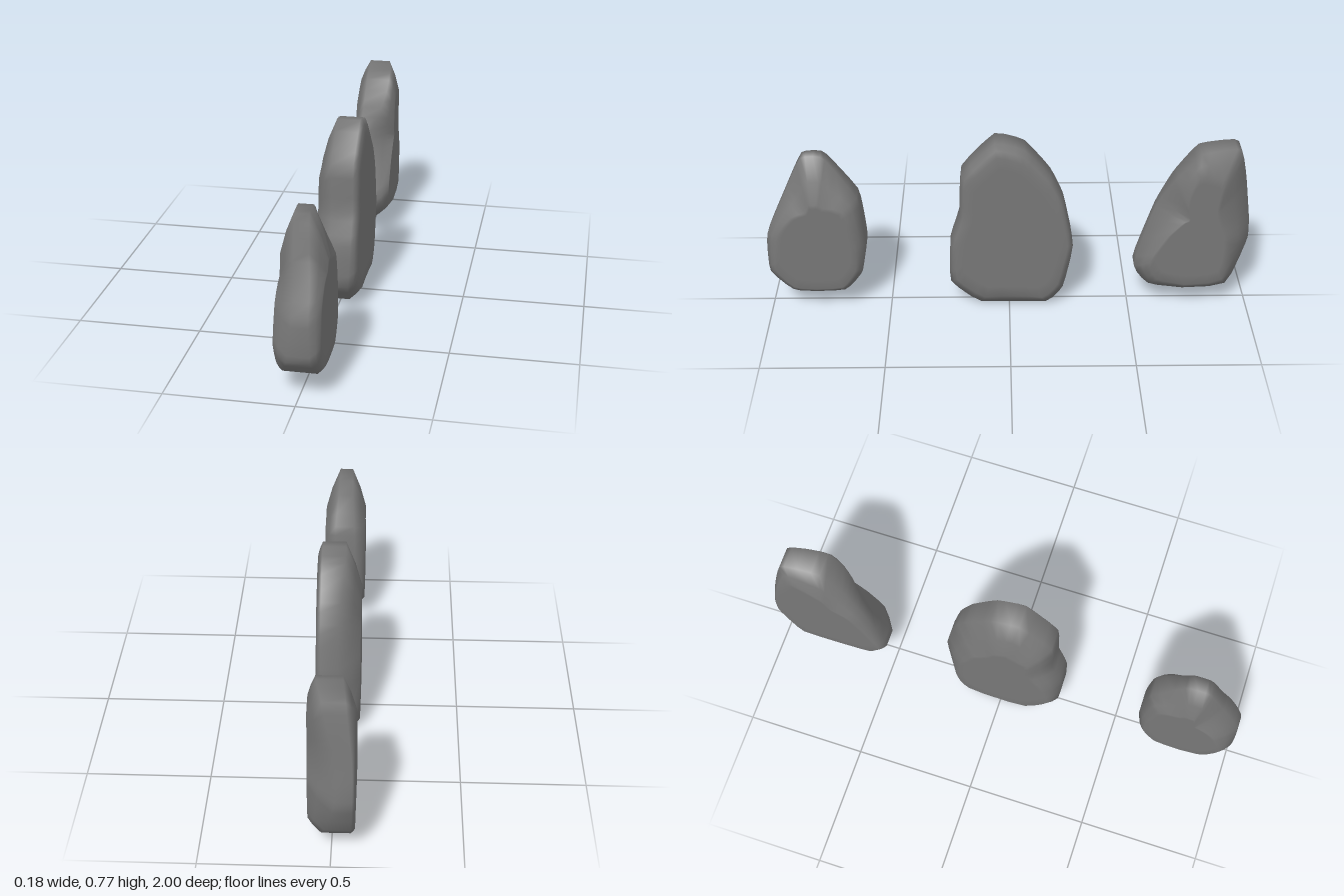
import * as THREE from 'three';

const material = new THREE.MeshStandardMaterial({ color: 0x777777 });
const FACE = 0.089; // half thickness of every stone
const SAMPLES = 36; // points around each stone

// outline: [z, y] from the top, down the back, along the bottom and up the front.
// top, back, bottom, front: the x range of the narrow rim on that side.
const stones = [
  {
    name: 'frontStone',
    outline: [
      [0.84, 0.692], [0.75, 0.692], [0.62, 0.51], [0.595, 0.30], [0.615, 0.17],
      [0.69, 0.088], [0.90, 0.088], [0.998, 0.18], [0.998, 0.35], [0.91, 0.55],
    ],
    top: [-0.03, 0.025], back: [-0.045, 0.045], bottom: [-0.085, 0.07], front: [-0.01, 0.05],
  },
  {
    name: 'middleStone',
    outline: [
      [0.06, 0.775], [-0.06, 0.745], [-0.165, 0.625], [-0.22, 0.51], [-0.262, 0.30], [-0.225, 0.09],
      [-0.155, 0.006], [0.12, 0.006], [0.245, 0.12], [0.245, 0.30], [0.205, 0.44], [0.195, 0.63],
    ],
    top: [-0.025, 0.07], back: [0, 0.07], bottom: [-0.08, 0.03], front: [-0.02, 0.065],
  },
  {
    name: 'backStone',
    outline: [
      [-0.77, 0.715], [-0.93, 0.725], [-0.97, 0.57], [-0.998, 0.385], [-0.998, 0.28],
      [-0.91, 0.09], [-0.595, 0.088], [-0.525, 0.17], [-0.605, 0.44], [-0.675, 0.59],
    ],
    top: [-0.04, 0.06], back: [-0.08, -0.02], bottom: [-0.07, 0.06], front: [-0.05, -0.01],
  },
];

// Skins loops from the -x face, over the bevels and rim, to the +x face
function stoneGeometry({ outline, top, back, bottom, front }) {
  const corners = outline.map(([z, y]) => new THREE.Vector3(0, y, z));
  const points = new THREE.CatmullRomCurve3(corners, true, 'catmullrom', 0.2).getPoints(SAMPLES).slice(0, -1);
  const box = new THREE.Box3().setFromPoints(corners);
  const centre = box.getCenter(new THREE.Vector3());
  const size = box.getSize(new THREE.Vector3());
  const positions = [];
  const index = [];

  // depth runs from 0 at the rim to 1 at the edge of the flat face
  const addLoop = (side, depth, shrink = 1) => {
    const end = side < 0 ? 0 : 1;
    for (const point of points) {
      const arm = point.clone().sub(centre);
      const angle = Math.atan2(arm.y / size.y, arm.z / size.z);
      const up = Math.sin(angle);
      const vertical = (up > 0 ? top : bottom)[end];
      const horizontal = (Math.cos(angle) > 0 ? front : back)[end];
      const rim = THREE.MathUtils.lerp(horizontal, vertical, up * up);

      // The wider the bevel, the further it reaches in, most of all near the top
      const reach = 1.1 + 1.9 * Math.max(0, up) ** 2;
      const inset = Math.abs(side * FACE - rim) * reach / arm.length();
      const bulge = 1 - (1 - depth) ** 1.3;
      arm.multiplyScalar((1 - inset * depth) * shrink).add(centre);
      positions.push(THREE.MathUtils.lerp(rim, side * FACE, bulge), arm.y, arm.z);
    }
  };
  const layers = [[-1, 1, 0.85], [-1, 1], [-1, 0.5], [-1, 0], [1, 0], [1, 0.5], [1, 1], [1, 1, 0.85]];
  layers.forEach((layer) => addLoop(...layer));

  // Centres of the two flat faces
  const minusCentre = positions.length / 3;
  positions.push(-FACE, centre.y, centre.z, FACE, centre.y, centre.z);

  const last = (layers.length - 1) * SAMPLES;
  for (let j = 0; j < SAMPLES; j++) {
    const k = (j + 1) % SAMPLES;
    index.push(minusCentre, j, k, minusCentre + 1, last + k, last + j);
    for (let i = 0; i < last; i += SAMPLES) {
      const next = i + SAMPLES;
      index.push(i + j, next + j, next + k, i + j, next + k, i + k);
    }
  }

  const geometry = new THREE.BufferGeometry();
  geometry.setAttribute('position', new THREE.Float32BufferAttribute(positions, 3));
  geometry.setIndex(index);
  geometry.computeVertexNormals();
  return geometry;
}

export function createModel() {
  const group = new THREE.Group();
  group.name = 'standingStones';
  for (const stone of stones) {
    const mesh = new THREE.Mesh(stoneGeometry(stone), material);
    mesh.name = stone.name;
    group.add(mesh);
  }
  return group;
}
